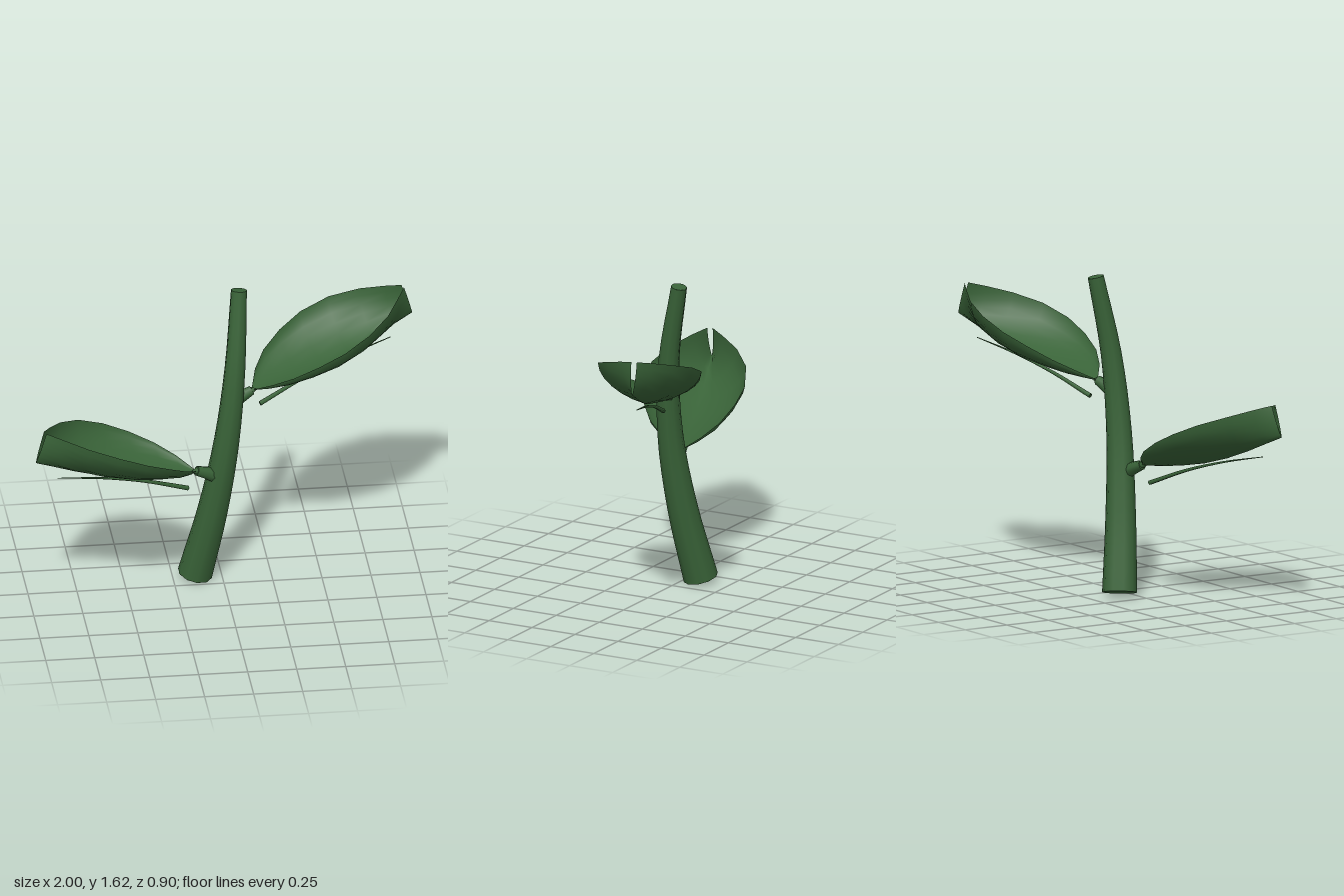
import * as THREE from 'three';

const leafGreen = new THREE.MeshStandardMaterial({ name: 'leafGreen', color: 0x396338, side: THREE.DoubleSide });

const vec = (p) => new THREE.Vector3(...p);

// Closed tube along points, narrowing from r0 to r1
function taperedTube(name, points, r0, r1, segments, sides) {
  const group = new THREE.Group();
  group.name = name;
  const curve = new THREE.CatmullRomCurve3(points.map(vec));
  const tube = new THREE.TubeGeometry(curve, segments, 1, sides);
  const pos = tube.attributes.position;
  const p = new THREE.Vector3();
  for (let i = 0; i <= segments; i++) {
    const centre = curve.getPointAt(i / segments);
    const radius = r0 + (r1 - r0) * i / segments;
    for (let j = 0; j <= sides; j++) {
      const k = i * (sides + 1) + j;
      p.fromBufferAttribute(pos, k).sub(centre).multiplyScalar(radius).add(centre);
      pos.setXYZ(k, p.x, p.y, p.z);
    }
  }
  const skin = new THREE.Mesh(tube, leafGreen);
  skin.name = name + 'Skin';
  group.add(skin);
  // End caps
  for (const [t, r, sign] of [[0, r0, -1], [1, r1, 1]]) {
    const cap = new THREE.Mesh(new THREE.CircleGeometry(r, sides), leafGreen);
    cap.name = name + 'End';
    cap.position.copy(curve.getPointAt(t));
    cap.quaternion.setFromUnitVectors(new THREE.Vector3(0, 0, 1), curve.getTangentAt(t).multiplyScalar(sign));
    group.add(cap);
  }
  return group;
}

// Cupped blade: each station is [midrib x, midrib y, margin y, half width, margin setback]
const stations = [
  [0.15, 1.065, 1.072, 0.008, 0],
  [0.21, 1.07, 1.125, 0.102, 0],
  [0.29, 1.078, 1.18, 0.18, 0],
  [0.40, 1.095, 1.243, 0.235, 0],
  [0.525, 1.12, 1.305, 0.264, 0],
  [0.665, 1.163, 1.367, 0.243, 0],
  [0.795, 1.216, 1.415, 0.17, 0],
  [0.905, 1.267, 1.45, 0.078, 0.015],
  [1.0, 1.31, 1.47, 0.014, 0.05],
];
const midribZ = (x) => -0.043 - (x - 0.15) * 0.34;

function leafBlade() {
  const across = 12;
  const positions = [];
  const index = [];
  stations.forEach(([x, midY, edgeY, width, setback], i) => {
    for (let j = 0; j <= across; j++) {
      const a = (j / across - 0.5) * Math.PI;
      const side = Math.sin(a) * width;
      // Rounded trough with a keel along the midrib
      const rise = 0.72 * (1 - Math.cos(a)) + 0.28 * Math.abs(Math.sin(a));
      positions.push(
        x + side * 0.322 - setback * rise,
        midY + (edgeY - midY) * rise,
        midribZ(x) + side * 0.947 + setback * 0.34 * rise,
      );
      if (i && j) {
        const d = i * (across + 1) + j;
        const c = d - 1, b = d - across - 1, e = b - 1;
        index.push(e, b, c, b, d, c);
      }
    }
  });
  const geo = new THREE.BufferGeometry();
  geo.setAttribute('position', new THREE.Float32BufferAttribute(positions, 3));
  geo.setIndex(index);
  geo.computeVertexNormals();
  const mesh = new THREE.Mesh(geo, leafGreen);
  mesh.name = 'leafBlade';
  return mesh;
}

// Blade, stalk joining it to the stem, and slender rib below
function leaf(name) {
  const group = new THREE.Group();
  group.name = name;
  group.add(
    leafBlade(),
    taperedTube('leafStalk', [[0.045, 1.02, -0.01], [0.09, 1.043, -0.023], [0.145, 1.066, -0.04]], 0.041, 0.025, 4, 8),
    taperedTube('stalkTip', [[0.143, 1.065, -0.04], [0.168, 1.067, -0.048]], 0.02, 0.006, 2, 8),
    taperedTube('leafRib', [[0.19, 0.98, midribZ(0.19)], [0.42, 1.073, midribZ(0.42)],
      [0.65, 1.143, midribZ(0.65)], [0.885, 1.197, midribZ(0.885)]], 0.012, 0.002, 12, 6),
  );
  return group;
}

export function createModel() {
  const model = new THREE.Group();
  model.name = 'leafySprig';

  // Curved main stem
  model.add(taperedTube('stem', [[-0.137, 0.022, -0.09], [-0.055, 0.4, -0.031], [0.012, 0.8, 0.003],
    [0.057, 1.2, -0.014], [0.087, 1.613, -0.09]], 0.089, 0.041, 16, 10));

  // Upper leaf, and a lower one turned half way round the stem
  model.add(leaf('upperLeaf'));
  const lower = leaf('lowerLeaf');
  lower.rotation.y = Math.PI;
  lower.position.y = -0.4;
  model.add(lower);
  return model;
}
